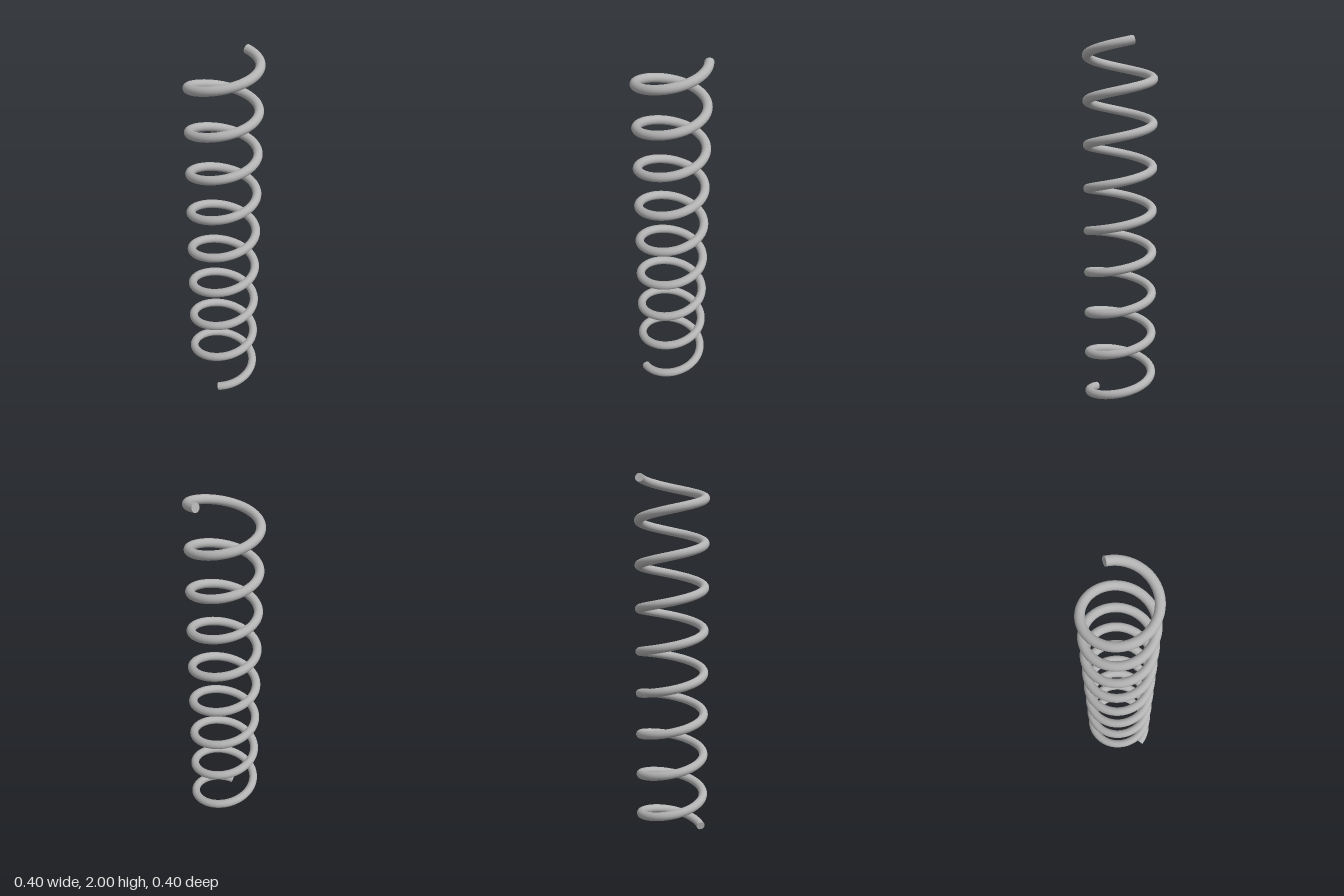
import * as THREE from 'three';

const COIL_RADIUS = 0.175;
const WIRE_RADIUS = 0.0235;
const TOP = 1.977;
const BOTTOM = 0.023;
const TURNS = 8 + 150 / 360;

// Helix winding down from the top end at +x, turning through +z first
class Helix extends THREE.Curve {
  getPoint(t, target = new THREE.Vector3()) {
    const a = t * TURNS * Math.PI * 2;
    return target.set(
      COIL_RADIUS * Math.cos(a),
      THREE.MathUtils.lerp(TOP, BOTTOM, t),
      COIL_RADIUS * Math.sin(a)
    );
  }
  getTangent(t, target = new THREE.Vector3()) {
    const w = TURNS * Math.PI * 2;
    const a = t * w;
    return target.set(
      -COIL_RADIUS * w * Math.sin(a),
      BOTTOM - TOP,
      COIL_RADIUS * w * Math.cos(a)
    ).normalize();
  }
}

export function createModel() {
  const model = new THREE.Group();
  model.name = 'coilSpring';
  const steel = new THREE.MeshStandardMaterial({ color: 0xb3b3b3 });
  steel.name = 'steel grey';

  // Coiled wire
  const path = new Helix();
  const wire = new THREE.Mesh(new THREE.TubeGeometry(path, 540, WIRE_RADIUS, 24, false), steel);
  wire.name = 'coiledWire';
  model.add(wire);

  // Flat cut faces at both ends of the wire
  for (const [name, t, sign] of [['topEnd', 0, -1], ['bottomEnd', 1, 1]]) {
    const cap = new THREE.Mesh(new THREE.CircleGeometry(WIRE_RADIUS, 24), steel);
    cap.name = name;
    cap.position.copy(path.getPoint(t));
    const outward = path.getTangent(t).multiplyScalar(sign);
    cap.quaternion.setFromUnitVectors(new THREE.Vector3(0, 0, 1), outward);
    model.add(cap);
  }
  return model;
}
